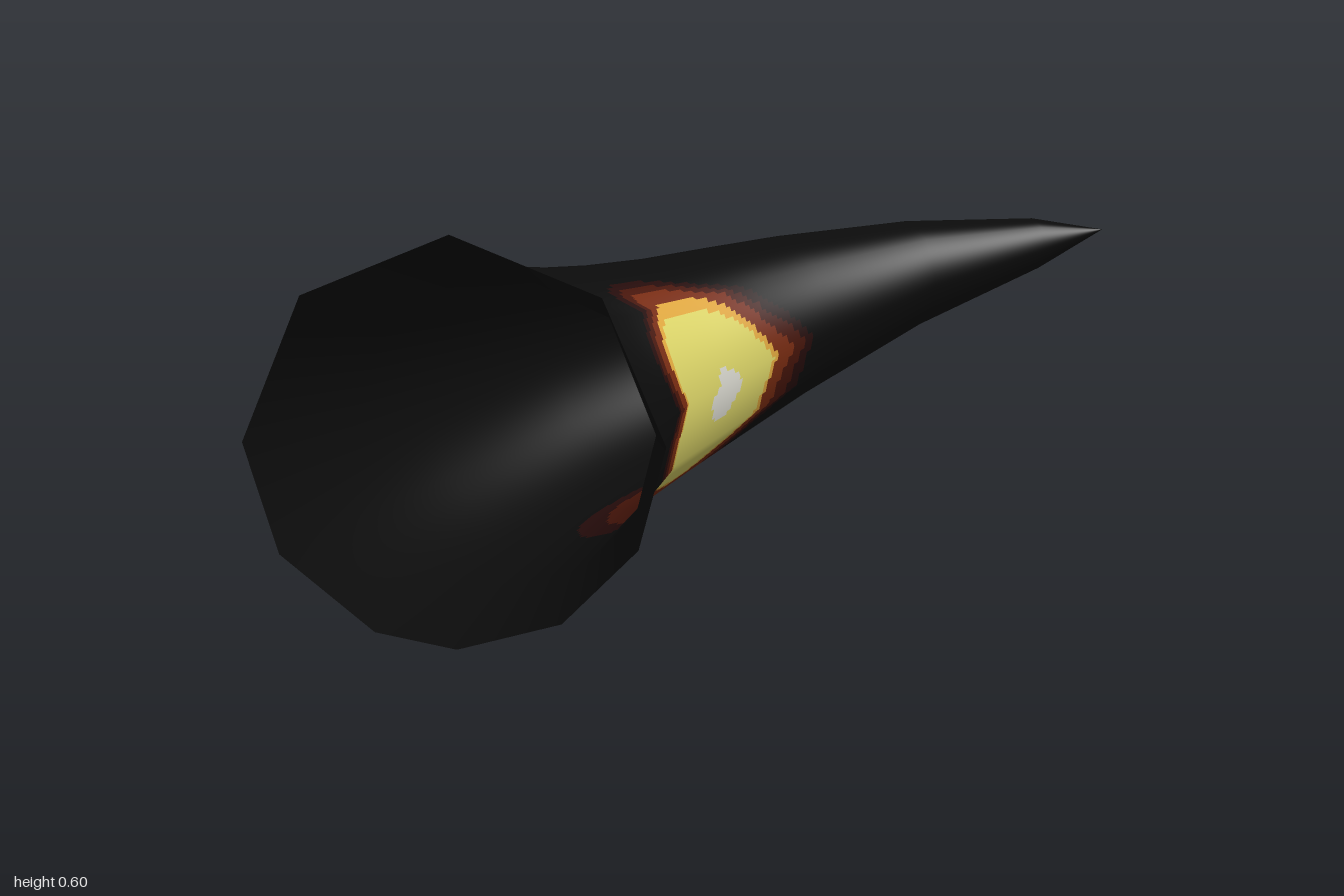
import * as THREE from 'three';

// Horn cross-sections: outer x, z, inner x, z, top y, bottom y
const RINGS = [
  [-1.0, 0.32, -0.48, 0.62, 0.6, 0.01],
  [-0.73, -0.06, -0.345, 0.27, 0.51, 0.0],
  [-0.55, -0.23, -0.25, 0.12, 0.485, 0.015],
  [-0.4, -0.35, -0.16, -0.01, 0.47, 0.035],
  [-0.23, -0.45, -0.04, -0.1, 0.465, 0.07],
  [-0.03, -0.535, 0.1, -0.21, 0.468, 0.11],
  [0.17, -0.59, 0.25, -0.295, 0.475, 0.165],
  [0.52, -0.63, 0.54, -0.42, 0.483, 0.272],
  [0.83, -0.595, 0.83, -0.49, 0.475, 0.37],
  [1.0, -0.545, 1.0, -0.545, 0.445, 0.445],
];
// Corner angles around a section, 0 = inside of the bend, 90 = top
const ANGLES = [0, 45, 90, 135, 180, 213, 247, 270, 300, 330];
const ALONG = 14, AROUND = 16; // subdivision of each facet, for the glow edges

// Glow zones from the outside in: half length (z), half height, centre height
const ZONES = [
  [0.174, 0.207, 0.24],
  [0.158, 0.196, 0.243],
  [0.138, 0.183, 0.246],
  [0.111, 0.162, 0.25],
  [0.102, 0.147, 0.243],
  [0.03, 0.046, 0.245],
];

function corner(i, j) {
  const [ox, oz, ix, iz, top, bottom] = RINGS[i];
  const a = THREE.MathUtils.degToRad(ANGLES[j % ANGLES.length]);
  const c = Math.cos(a), s = Math.sin(a);
  return new THREE.Vector3(
    (ox + ix) / 2 + c * (ix - ox) / 2,
    (top + bottom) / 2 + s * (top - bottom) / 2,
    (oz + iz) / 2 + c * (iz - oz) / 2);
}

// Smooth outward normal at a section corner
function cornerNormal(i, j) {
  const k = Math.min(i, RINGS.length - 2);
  const [ox, oz, ix, iz, top, bottom] = RINGS[k];
  const a = THREE.MathUtils.degToRad(ANGLES[j % ANGLES.length]);
  const w = Math.hypot(ix - ox, iz - oz);
  return new THREE.Vector3(
    Math.cos(a) * (ix - ox) / w,
    Math.sin(a) * w / (top - bottom),
    Math.cos(a) * (iz - oz) / w).normalize();
}

// 0 = plain horn, higher = hotter part of the glow
function zoneAt(p) {
  let zone = 0;
  ZONES.forEach(([a, b, cy], k) => {
    const dz = Math.abs(p.z + 0.097) / a, dy = Math.abs(p.y - cy) / b;
    const power = k === 5 ? 1.6 : 2.8;
    const ripple = k === 5 ? 0 : 0.04 * Math.sin(p.y * 38 + k);
    if (dz ** power + dy ** power < 1 + ripple) zone = k + 1;
  });
  return zone;
}

export function createModel() {
  const colours = [
    ['hornBlack', 0x0b0b0b], ['glowEdge', 0x240b0a], ['glowDarkRed', 0x451409],
    ['glowBrown', 0x752a10], ['glowOrange', 0xdba43c], ['glowYellow', 0xd8d166],
    ['glowCore', 0xd6d5cc],
  ];
  const materials = colours.map(([name, color]) => {
    const m = new THREE.MeshStandardMaterial({ color, side: THREE.DoubleSide });
    m.name = name;
    return m;
  });

  const positions = [], normals = [];
  const lists = colours.map(() => []);
  const blend = (q, u, v) => q[0].clone().lerp(q[1], u).lerp(q[2].clone().lerp(q[3], u), v);

  // Facets of the curved horn, sorted into colours
  for (let i = 0; i < RINGS.length - 1; i++) {
    for (let j = 0; j < ANGLES.length; j++) {
      const around = [[i, j], [i + 1, j], [i, j + 1], [i + 1, j + 1]];
      const ps = around.map(([a, b]) => corner(a, b));
      const ns = around.map(([a, b]) => cornerNormal(a, b));
      const inside = j < 2 || j > 6; // the glow is only on the inside of the bend
      const base = positions.length / 3;
      const at = (m, n) => base + m * (AROUND + 1) + n;
      for (let m = 0; m <= ALONG; m++) {
        for (let n = 0; n <= AROUND; n++) {
          positions.push(...blend(ps, m / ALONG, n / AROUND).toArray());
          normals.push(...blend(ns, m / ALONG, n / AROUND).normalize().toArray());
        }
      }
      for (let m = 0; m < ALONG; m++) {
        for (let n = 0; n < AROUND; n++) {
          const mid = blend(ps, (m + 0.5) / ALONG, (n + 0.5) / AROUND);
          const list = lists[inside ? zoneAt(mid) : 0];
          list.push(at(m, n), at(m + 1, n), at(m + 1, n + 1));
          list.push(at(m, n), at(m + 1, n + 1), at(m, n + 1));
        }
      }
    }
  }

  const geometry = new THREE.BufferGeometry();
  geometry.setAttribute('position', new THREE.Float32BufferAttribute(positions, 3));
  geometry.setAttribute('normal', new THREE.Float32BufferAttribute(normals, 3));
  geometry.setIndex(lists.flat());
  let start = 0;
  lists.forEach((list, k) => {
    geometry.addGroup(start, list.length, k);
    start += list.length;
  });

  const horn = new THREE.Mesh(geometry, materials);
  horn.name = 'horn';
  const group = new THREE.Group();
  group.name = 'glowingHorn';
  group.add(horn);
  return group;
}
